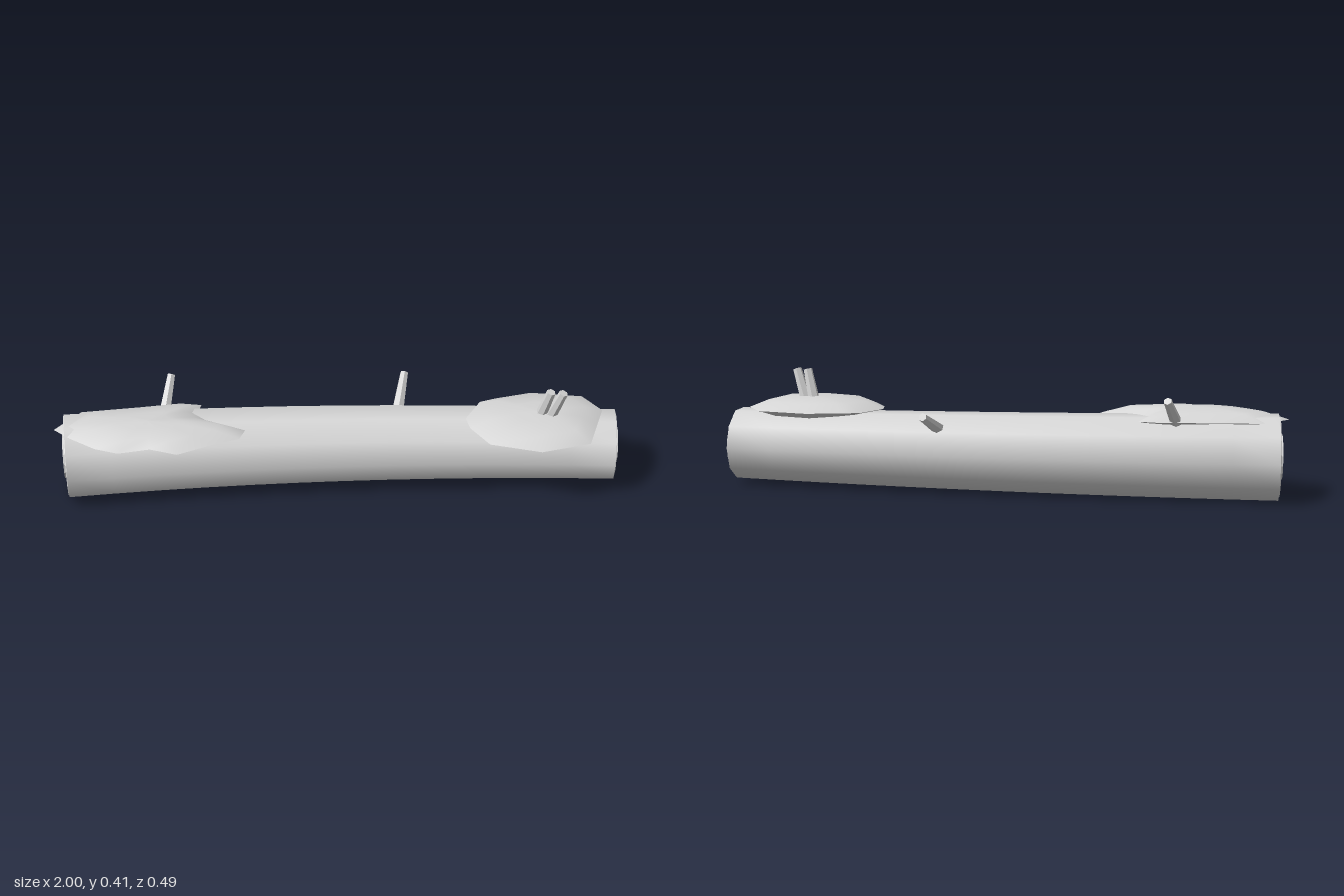
import * as THREE from 'three';

const SIDES = 10;
const bark = new THREE.MeshStandardMaterial({ color: 0xd6d6d6 });
bark.name = 'pale grey';

// Gently bowed, tapering centre line of the trunk
const centre = (x) => new THREE.Vector3(x, 0.144 - 0.003 * x, -0.022 + 0.042 * x * x);
const radius = (x) => 0.142 - 0.012 * x;

// Closed surface strip through loops of points
function skin(loops) {
  const n = loops[0].length, pos = [], idx = [];
  loops.forEach((l) => l.forEach((p) => pos.push(p.x, p.y, p.z)));
  for (let i = 0; i < loops.length - 1; i++) {
    for (let j = 0; j < n; j++) {
      const a = i * n + j, b = i * n + (j + 1) % n;
      idx.push(a, a + n, b, b, a + n, b + n);
    }
  }
  const g = new THREE.BufferGeometry();
  g.setAttribute('position', new THREE.Float32BufferAttribute(pos, 3));
  g.setIndex(idx);
  g.computeVertexNormals();
  return g;
}

// Flat-faced copy of a geometry
function faceted(geometry) {
  const g = geometry.toNonIndexed();
  g.computeVertexNormals();
  return g;
}

function add(group, geometry, name) {
  const mesh = new THREE.Mesh(geometry, bark);
  mesh.name = name;
  group.add(mesh);
  return mesh;
}

function trunkLoop(x) {
  const c = centre(x), r = radius(x), slope = 0.084 * x;
  return Array.from({ length: SIDES }, (_, k) => {
    const a = (k / SIDES) * Math.PI * 2;
    const dz = Math.cos(a) * r;
    return new THREE.Vector3(c.x - slope * dz, c.y + Math.sin(a) * r, c.z + dz);
  });
}

// Sawn end: flat face, thin inner disc and raised growth ring
function sawnEnd(group, x) {
  const s = Math.sign(x), r = radius(x);
  const end = new THREE.Group();
  end.name = s > 0 ? 'leftEnd' : 'rightEnd';
  end.position.copy(centre(x));
  end.rotation.y = s * Math.PI / 2 - 0.084 * x;
  add(end, new THREE.CircleGeometry(r, SIDES), 'sawnFace');
  const disc = new THREE.CylinderGeometry(r * 0.93, r * 0.94, 0.003, 14);
  disc.rotateX(Math.PI / 2);
  add(end, faceted(disc), 'innerDisc').position.z = 0.0015;
  const o = r * 0.52;
  const profile = [[o, 0], [o, 0.012], [o - 0.005, 0.012], [o - 0.005, 0.008], [0, 0.008]]
    .map(([a, b]) => new THREE.Vector2(a, b));
  const ring = new THREE.LatheGeometry(profile, 14);
  ring.rotateX(Math.PI / 2);
  add(end, faceted(ring), 'growthRing');
  group.add(end);
}

// Lens-shaped moss cushion from an [x, z] outline
function moss(group, name, outline, heart, top, rim, base) {
  const loop = (scale, y) => outline.map(([x, z]) => new THREE.Vector3(
    heart[0] + (x - heart[0]) * scale, y, heart[1] + (z - heart[1]) * scale));
  const patch = new THREE.Group();
  patch.name = name;
  add(patch, skin([
    loop(1, rim), loop(0.72, rim + (top - rim) * 0.7), loop(0.35, top - 0.003), loop(0.001, top),
  ]), 'mossTop');
  add(patch, faceted(skin([loop(0.001, base), loop(0.6, base + 0.002), loop(1, rim)])), 'mossUnderside');
  group.add(patch);
}

// Tapered broken twig between two points
function twig(group, name, from, to, r0, r1) {
  const a = new THREE.Vector3(...from), b = new THREE.Vector3(...to);
  const dir = b.clone().sub(a);
  const mesh = add(group, faceted(new THREE.CylinderGeometry(r1, r0, dir.length(), 6)), name);
  mesh.position.copy(a).add(b).multiplyScalar(0.5);
  mesh.quaternion.setFromUnitVectors(new THREE.Vector3(0, 1, 0), dir.normalize());
}

export function createModel() {
  const model = new THREE.Group();
  model.name = 'fallenLog';

  // Trunk
  const start = -0.966, finish = 0.986, loops = [];
  for (let i = 0; i <= 12; i++) loops.push(trunkLoop(start + (finish - start) * i / 12));
  add(model, skin(loops), 'trunk');
  sawnEnd(model, start);
  sawnEnd(model, finish);

  // Moss cushions
  moss(model, 'leftMoss', [
    [0.45, 0.03], [0.51, -0.07], [0.57, -0.09], [0.70, -0.12], [0.88, -0.09], [0.94, 0],
    [0.91, 0.085], [0.87, 0.20], [0.695, 0.243], [0.52, 0.19], [0.46, 0.09],
  ], [0.70, 0.05], 0.316, 0.277, 0.243);
  moss(model, 'rightMoss', [
    [-1, 0.04], [-0.955, -0.015], [-0.91, -0.065], [-0.72, -0.085], [-0.56, -0.105], [-0.485, -0.092],
    [-0.5, -0.04], [-0.45, 0.01], [-0.33, 0.07], [-0.35, 0.12], [-0.45, 0.155], [-0.565, 0.205],
    [-0.66, 0.17], [-0.77, 0.19], [-0.85, 0.16], [-0.94, 0.095],
  ], [-0.67, 0.05], 0.316, 0.277, 0.252);

  // Broken twigs
  twig(model, 'rightTwig', [-0.62, 0.25, -0.045], [-0.59, 0.363, -0.163], 0.023, 0.015);
  twig(model, 'middleTwig', [0.21, 0.212, -0.06], [0.25, 0.297, -0.238], 0.024, 0.015);
  twig(model, 'leftTwigA', [0.705, 0.27, 0.045], [0.74, 0.41, 0.072], 0.022, 0.016);
  twig(model, 'leftTwigB', [0.735, 0.27, 0.055], [0.782, 0.41, 0.08], 0.022, 0.016);
  return model;
}
